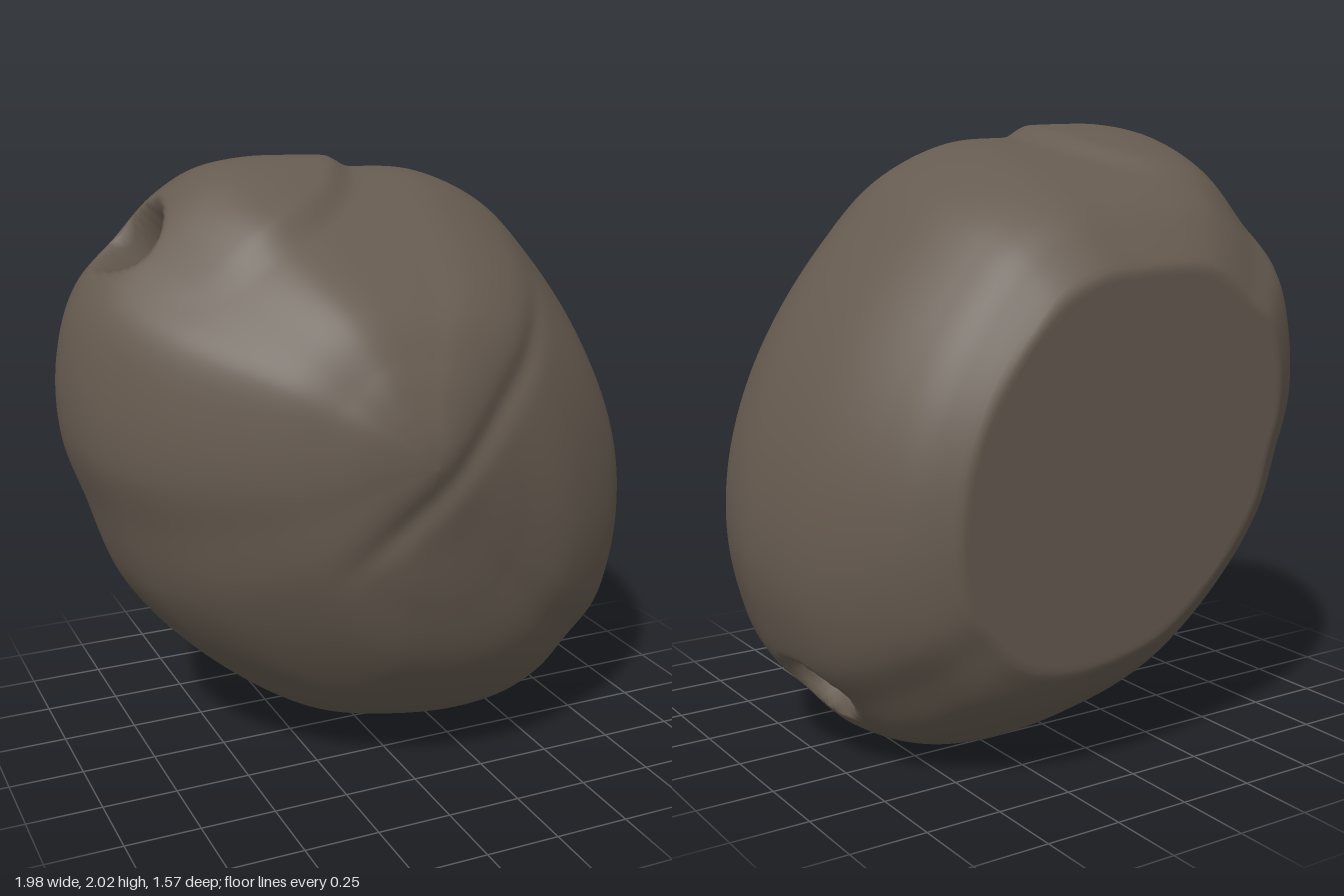
import * as THREE from 'three';
import { mergeVertices } from 'three/addons/utils/BufferGeometryUtils.js';

const { smoothstep } = THREE.MathUtils;
const AROUND = 280, ALONG = 180;

// Silhouette of the widest slice, counter-clockwise seen from the front
const outline = [
  [0.985, 0.7], [0.97, 0.95], [0.9, 1.2], [0.78, 1.44], [0.61, 1.67], [0.45, 1.83], [0.22, 1.935],
  [0.0, 1.955], [-0.2, 1.965], [-0.36, 1.965], [-0.5, 1.94], [-0.61, 1.88], [-0.75, 1.76], [-0.9, 1.63],
  [-0.975, 1.4], [-0.98, 1.15], [-0.91, 0.93], [-0.8, 0.64], [-0.55, 0.34], [-0.23, 0.11],
  [0.05, 0.03], [0.3, 0.005], [0.5, 0.03], [0.65, 0.1], [0.78, 0.23], [0.89, 0.35], [0.95, 0.5],
];

// Slices from front to back: z, then x range, then y range
const slices = [
  [0.79, -0.08, -0.08, 1.18, 1.18],
  [0.78, -0.16, 0.0, 1.08, 1.27],
  [0.75, -0.27, 0.1, 0.93, 1.37],
  [0.7, -0.38, 0.26, 0.7, 1.48],
  [0.6, -0.55, 0.53, 0.44, 1.63],
  [0.4, -0.78, 0.8, 0.2, 1.78],
  [0.2, -0.92, 0.93, 0.07, 1.9],
  [0.03, -0.98, 0.98, 0.015, 1.975],
  [-0.13, -0.985, 0.985, 0.005, 1.97],
  [-0.35, -0.92, 0.94, 0.05, 1.91],
  [-0.55, -0.8, 0.83, 0.17, 1.82],
  [-0.7, -0.66, 0.7, 0.32, 1.7],
  [-0.85, -0.4, 0.45, 0.6, 1.45],
  [-0.92, 0, 0, 1, 1],
];

// Bored sockets at the two ends, each with its inward direction
const inward = new THREE.Vector3(0.71, -0.7, -0.07).normalize();
const sockets = [
  { centre: new THREE.Vector3(-0.72, 1.76, -0.03), dir: inward },
  { centre: new THREE.Vector3(0.84, 0.24, -0.18), dir: inward.clone().negate() },
];

function weather(p) {
  // Raised lip around the upper end
  const lip = Math.hypot(p.x + 0.5, p.z + 0.1);
  if (p.y > 1.4) p.y += 0.035 * (1 - smoothstep(lip, 0.41, 0.5)) * smoothstep(p.y, 1.6, 1.85);

  // Shallow diagonal groove across the front
  if (p.z > 0.2) {
    const across = (p.y - 1.15 - 0.9 * p.x) / 1.35;
    const fade = smoothstep(p.x, -0.4, -0.1) * (1 - smoothstep(p.x, 0.3, 0.55));
    p.z -= 0.018 * fade * Math.exp(-((across / 0.05) ** 2));
  }

  // Gentle hand-worn unevenness
  const wear = 0.004 * Math.sin(7 * p.x + 5 * p.y) * Math.sin(6 * p.z - 4 * p.y + 1);
  p.x *= 1 + wear;
  p.z *= 1 + wear;

  // Flat, slightly leaning back
  p.z = Math.max(p.z, -0.735 - 0.042 * (p.y - 0.4));

  // Sockets
  for (const { centre, dir } of sockets) {
    const offset = p.clone().sub(centre);
    const along = offset.dot(dir);
    if (Math.abs(along) > 0.3) continue;
    const radius = offset.addScaledVector(dir, -along).length();
    p.addScaledVector(dir, 0.3 * (1 - smoothstep(radius, 0.06, 0.145)));
  }
  return p;
}

function stoneGeometry() {
  const rim = new THREE.CatmullRomCurve3(
    outline.map(([x, y]) => new THREE.Vector3(x, y, 0)), true).getSpacedPoints(AROUND);
  const spline = (pick) => new THREE.CatmullRomCurve3(
    slices.map((s) => new THREE.Vector3(...pick(s))), false, 'catmullrom', 0.5);
  const xRange = spline((s) => [s[1], s[2], s[0]]);
  const yRange = spline((s) => [s[3], s[4], s[0]]);

  const positions = [], index = [];
  for (let i = 0; i <= ALONG; i++) {
    const a = xRange.getPoint(i / ALONG), b = yRange.getPoint(i / ALONG);
    for (let j = 0; j < AROUND; j++) {
      const u = (rim[j].x + 0.985) / 1.97, v = (rim[j].y - 0.005) / 1.96;
      const p = new THREE.Vector3(a.x + (a.y - a.x) * u, b.x + (b.y - b.x) * v, a.z);
      positions.push(...weather(p).toArray());
      if (i === ALONG) continue;
      const next = (j + 1) % AROUND;
      const p00 = i * AROUND + j, p01 = i * AROUND + next;
      const p10 = p00 + AROUND, p11 = p01 + AROUND;
      index.push(p00, p10, p01, p01, p10, p11);
    }
  }
  const geometry = new THREE.BufferGeometry();
  geometry.setAttribute('position', new THREE.Float32BufferAttribute(positions, 3));
  geometry.setIndex(index);
  const merged = mergeVertices(geometry, 1e-5);
  merged.computeVertexNormals();
  return merged;
}

export function createModel() {
  const group = new THREE.Group();
  group.name = 'boredStone';
  const stone = new THREE.MeshStandardMaterial({ color: 0x665b50 });
  stone.name = 'brownStone';
  const body = new THREE.Mesh(stoneGeometry(), stone);
  body.name = 'stoneBody';
  group.add(body);
  return group;
}
